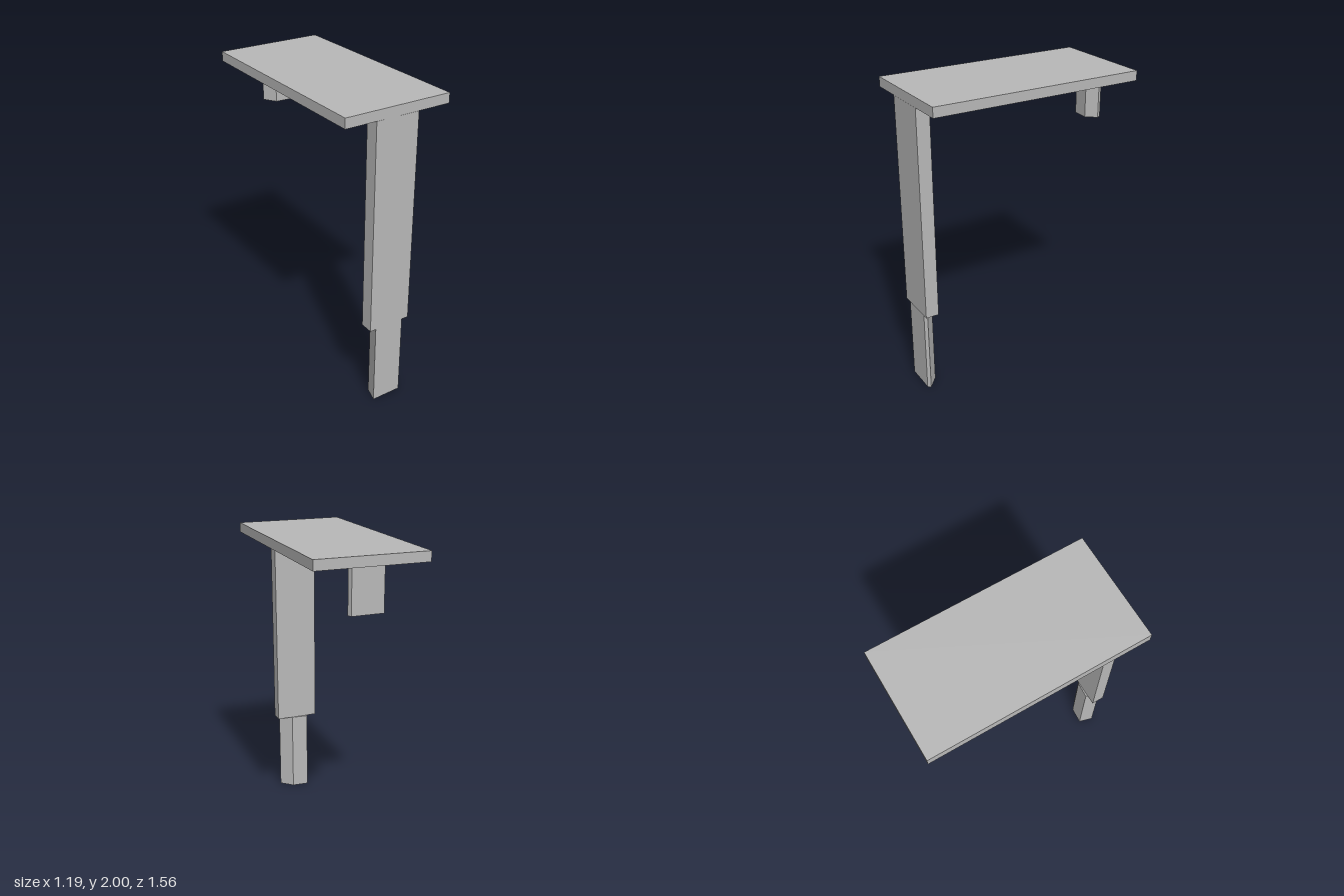
import * as THREE from 'three';

const YAW = Math.atan2(0.27, 0.655);

export function createModel() {
  const model = new THREE.Group();
  const grey = new THREE.MeshStandardMaterial({ color: 0xb8b8b8 });
  grey.name = 'plain grey';

  const add = (name, geometry) => {
    const mesh = new THREE.Mesh(geometry, grey);
    mesh.name = name;
    model.add(mesh);
    return mesh;
  };

  // Box turned to the table's heading, spanning y0 to y1
  const slab = (name, w, d, y0, y1, x, z) => {
    const mesh = add(name, new THREE.BoxGeometry(w, y1 - y0, d));
    mesh.position.set(x, (y0 + y1) / 2, z);
    mesh.rotation.y = YAW;
  };

  // Upright prism over an outline of [x, z] points, spanning y0 to y1
  const prism = (name, outline, y0, y1) => {
    const shape = new THREE.Shape(outline.map(([x, z]) => new THREE.Vector2(x, -z)));
    const geometry = new THREE.ExtrudeGeometry(shape, { depth: y1 - y0, bevelEnabled: false });
    geometry.rotateX(-Math.PI / 2).translate(0, y0, 0);
    add(name, geometry);
  };

  // Flat top and the broad upper part of the leg
  slab('tableTop', 0.71, 1.4, 1.937, 2, 0, 0);
  slab('upperLeg', 0.289, 0.087, 0.56, 1.937, 0.245, 0.61);

  // Narrower foot: flat at the front, chamfered behind
  prism('lowerLeg', [
    [0.167, 0.685], [0.354, 0.608], [0.361, 0.585], [0.262, 0.55], [0.155, 0.586],
  ], 0, 0.56);

  // Short stub under the far end: flat at the back, chamfered in front
  prism('shortLeg', [
    [-0.336, -0.54], [-0.256, -0.484], [-0.153, -0.521], [-0.127, -0.6], [-0.148, -0.619],
  ], 1.647, 1.937);

  return model;
}
